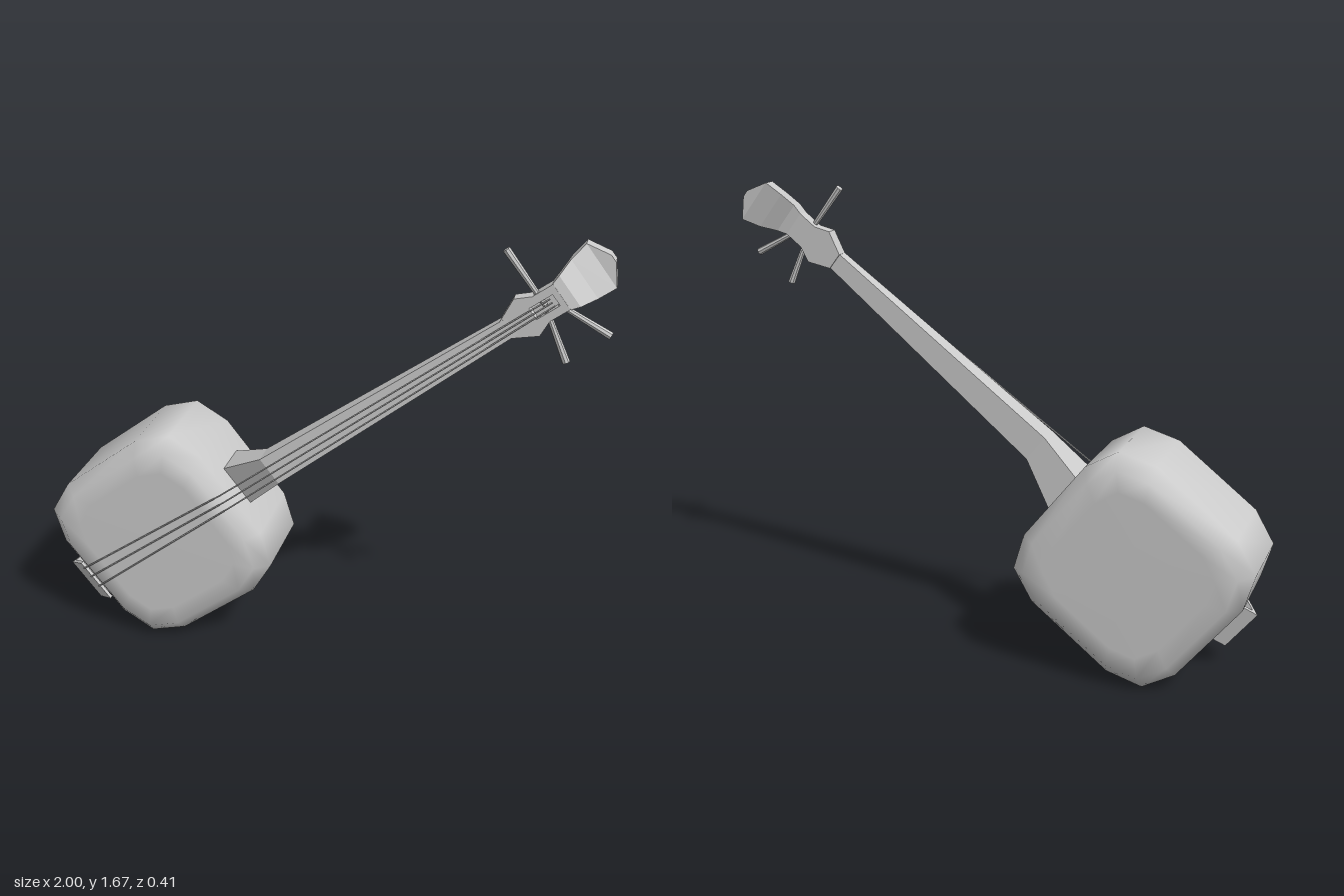
import * as THREE from 'three';

const grey = new THREE.MeshStandardMaterial({ color: 0xcccccc, side: THREE.DoubleSide });
const facet = new THREE.MeshStandardMaterial({ color: 0xcccccc, flatShading: true });

function add(group, name, geometry, material = facet) {
  const mesh = new THREE.Mesh(geometry, material);
  mesh.name = name;
  group.add(mesh);
  return mesh;
}

// Skin a list of equal-length closed rings and cap both ends.
function loft(rings) {
  const n = rings[0].length, last = rings.length - 1;
  const pos = rings.flat(2), index = [];
  const centre = ring => [0, 1, 2].map(k => ring.reduce((s, p) => s + p[k], 0) / n);
  pos.push(...centre(rings[0]), ...centre(rings[last]));
  const c0 = n * rings.length, c1 = c0 + 1;
  for (let i = 0; i < n; i++) {
    const j = (i + 1) % n;
    for (let r = 0; r < last; r++) {
      const a = r * n + i, b = r * n + j;
      index.push(a, b, b + n, a, b + n, a + n);
    }
    index.push(c0, j, i, c1, last * n + i, last * n + j);
  }
  const g = new THREE.BufferGeometry();
  g.setAttribute('position', new THREE.Float32BufferAttribute(pos, 3));
  g.setIndex(index);
  g.computeVertexNormals();
  return g;
}

// Rectangular section across the neck: distance, half width, front z, back z.
const section = ([u, w, zf, zb]) => [[u, -w, zb], [u, w, zb], [u, w, zf], [u, -w, zf]];

// Straight rod between two points.
function rod(a, b, ra, rb, sides) {
  const p = new THREE.Vector3(...a), q = new THREE.Vector3(...b);
  const dir = q.clone().sub(p);
  const g = new THREE.CylinderGeometry(rb, ra, dir.length(), sides);
  g.applyQuaternion(new THREE.Quaternion().setFromUnitVectors(new THREE.Vector3(0, 1, 0), dir.normalize()));
  const m = p.add(q).multiplyScalar(0.5);
  return g.translate(m.x, m.y, m.z);
}

const toShape = pts => new THREE.Shape(pts.map(p => new THREE.Vector2(...p)));

export function createModel() {
  const root = new THREE.Group();
  root.name = 'lute';

  // Everything is laid out along +x, then tilted upward
  const g = new THREE.Group();
  g.name = 'tiltedLute';
  g.position.set(-0.57, 0.437, 0);
  g.rotation.z = THREE.MathUtils.degToRad(37.9);
  root.add(g);

  // Sound box: rounded square with softened front and back rims
  const outline = [];
  for (let k = 0; k < 4; k++) {
    const c = Math.round(Math.cos(k * Math.PI / 2)), s = Math.round(Math.sin(k * Math.PI / 2));
    for (const [x, y] of [[0.358, 0.18], [0.307, 0.307], [0.18, 0.358]]) outline.push([x * c - y * s, x * s + y * c]);
  }
  const bodyRings = [[0.7, -0.21], [0.88, -0.208], [1, -0.16], [1, 0.148], [0.88, 0.196], [0.7, 0.198]];
  add(g, 'soundBox', loft(bodyRings.map(([k, z]) => outline.map(([x, y]) => [x * k, y * k, z]))), grey);

  // Neck with a heel that bends back into the box
  add(g, 'neck', loft([
    [0.345, 0.083, 0.065, -0.083], [0.54, 0.056, 0.13, 0.042], [1.58, 0.033, 0.1, 0.06]
  ].map(section)));

  // Peg head: solid back layer and a front layer with a slot
  const half = [[1.555, 0.034], [1.637, 0.075], [1.692, 0.05], [1.77, 0.05]];
  const headPoints = [...half.map(([x, y]) => [x, -y]), ...half.slice().reverse()];
  const slotted = toShape(headPoints);
  slotted.holes.push(new THREE.Path(
    [[1.66, -0.022], [1.66, 0.022], [1.75, 0.022], [1.75, -0.022]].map(p => new THREE.Vector2(...p))));
  const layer = (shape, z, depth) =>
    new THREE.ExtrudeGeometry(shape, { depth, bevelEnabled: false }).translate(0, 0, z);
  add(g, 'pegHeadBack', layer(toShape(headPoints), 0.055, 0.017));
  add(g, 'pegHeadFront', layer(slotted, 0.072, 0.028));

  // Flared head tip sweeping backward
  add(g, 'headTip', loft([
    [1.765, 0.05, 0.1, 0.055], [1.8, 0.062, 0.092, 0.047], [1.85, 0.078, 0.054, 0.008],
    [1.91, 0.088, 0.02, -0.026], [1.953, 0.014, 0.016, -0.028]
  ].map(section)));

  // Tuning pegs
  const pegs = [[[1.706, 0], [1.706, 0.222]], [[1.7, -0.02], [1.654, -0.2]], [[1.745, -0.02], [1.825, -0.197]]];
  for (const [a, b] of pegs) add(g, 'tuningPeg', rod([...a, 0.083], [...b, 0.083], 0.009, 0.0135, 8));

  // Strings: over the skin, then down to the slot
  for (const [tail, edge, head] of [[0.06, 0.035, 0.014], [0.018, 0.006, 0], [-0.03, -0.022, -0.014]]) {
    const a = [-0.335, tail, 0.202], b = [0.36, edge, 0.202], c = [1.735, head, 0.1];
    add(g, 'stringOnSkin', rod(a, b, 0.003, 0.003, 5));
    add(g, 'stringOnNeck', rod(b, c, 0.003, 0.003, 5));
  }

  // Folded tail bracket, drawn as a V in side view and extruded across
  const bracket = new THREE.ExtrudeGeometry(
    toShape([[-0.33, 0.2], [-0.443, 0.1], [-0.34, 0.045], [-0.34, 0.06], [-0.42, 0.103], [-0.33, 0.183]]),
    { depth: 0.178, bevelEnabled: false });
  bracket.rotateX(Math.PI / 2).scale(1, 1, 1).translate(0, 0.081, 0);
  add(g, 'tailBracket', bracket);

  return root;
}
